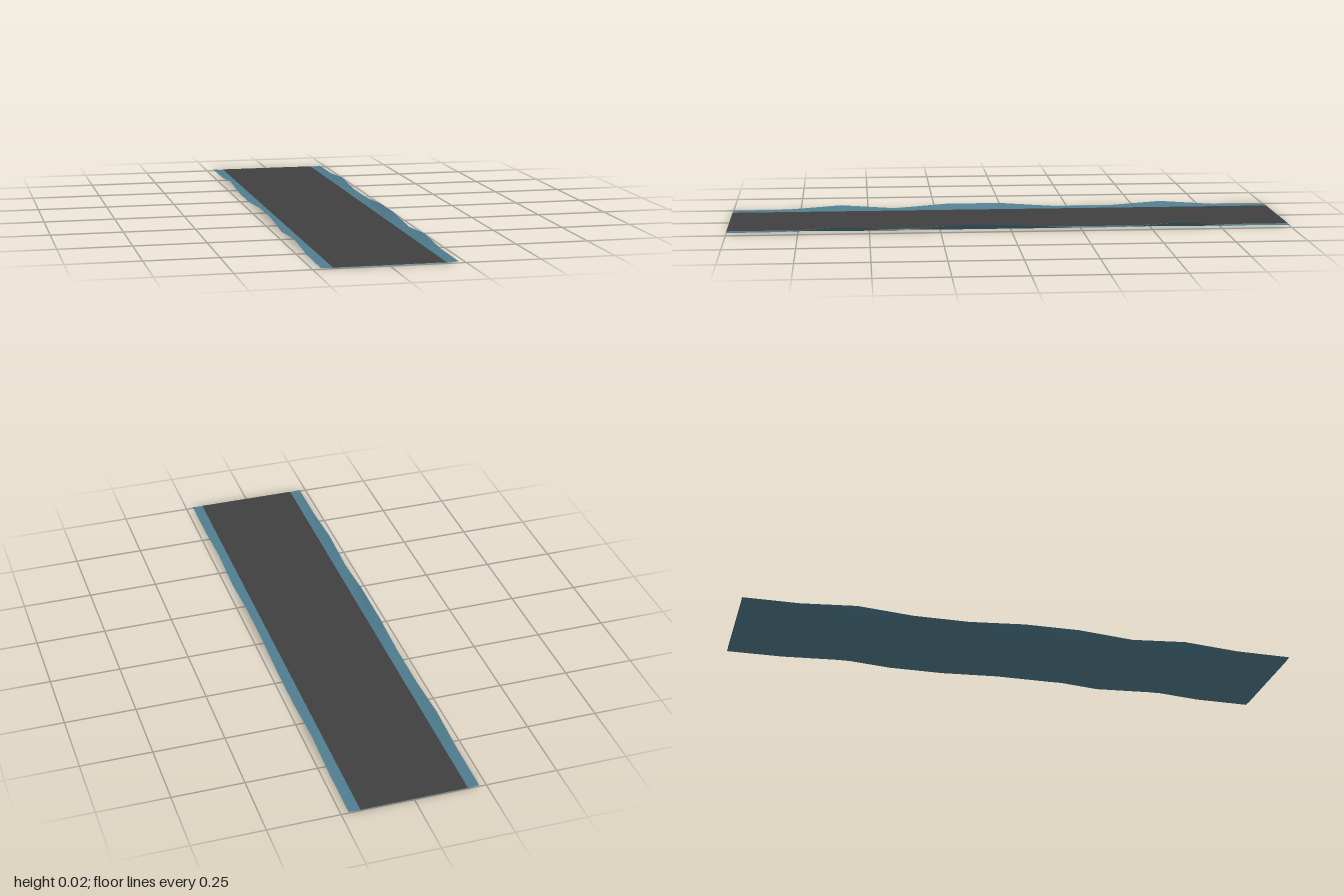
import * as THREE from 'three';

// Heights of the outer bank edge, from the back (z = -1) to the front (z = 1)
const CREST = [0.005, 0.006, 0.02, 0.006, 0.006, 0.02, 0.021, 0.006, 0.02, 0.006, 0.005];

export function createModel() {
  const group = new THREE.Group();
  const roadGrey = new THREE.MeshStandardMaterial({ color: 0x404040, side: THREE.DoubleSide });
  const bankBlue = new THREE.MeshStandardMaterial({ color: 0x4f7d8f, side: THREE.DoubleSide });
  roadGrey.name = 'road grey';
  bankBlue.name = 'bank blue';

  // Ground sheet: flat bed, shallow ditch beside the road, rolling outer banks
  const columns = [-0.225, -0.191, -0.176, 0.176, 0.191, 0.225];
  const rows = CREST.length;
  const ground = new THREE.PlaneGeometry(0.45, 2, columns.length - 1, rows - 1);
  ground.rotateX(-Math.PI / 2);
  const p = ground.attributes.position;
  for (let r = 0; r < rows; r++) {
    const ditch = CREST[r] > 0.01 ? 0 : 0.002;
    const section = [CREST[r], ditch, 0.002, 0.002, ditch, CREST[r]];
    columns.forEach((x, c) => p.setXYZ(r * columns.length + c, x, section[c], -1 + (2 * r) / (rows - 1)));
  }
  ground.computeVertexNormals();
  const banks = new THREE.Mesh(ground, bankBlue);
  banks.name = 'groundAndBanks';
  group.add(banks);

  // Flat road surface lying just above the bed
  const road = new THREE.Mesh(new THREE.PlaneGeometry(0.37, 2).rotateX(-Math.PI / 2), roadGrey);
  road.position.y = 0.004;
  road.name = 'road';
  group.add(road);

  return group;
}
